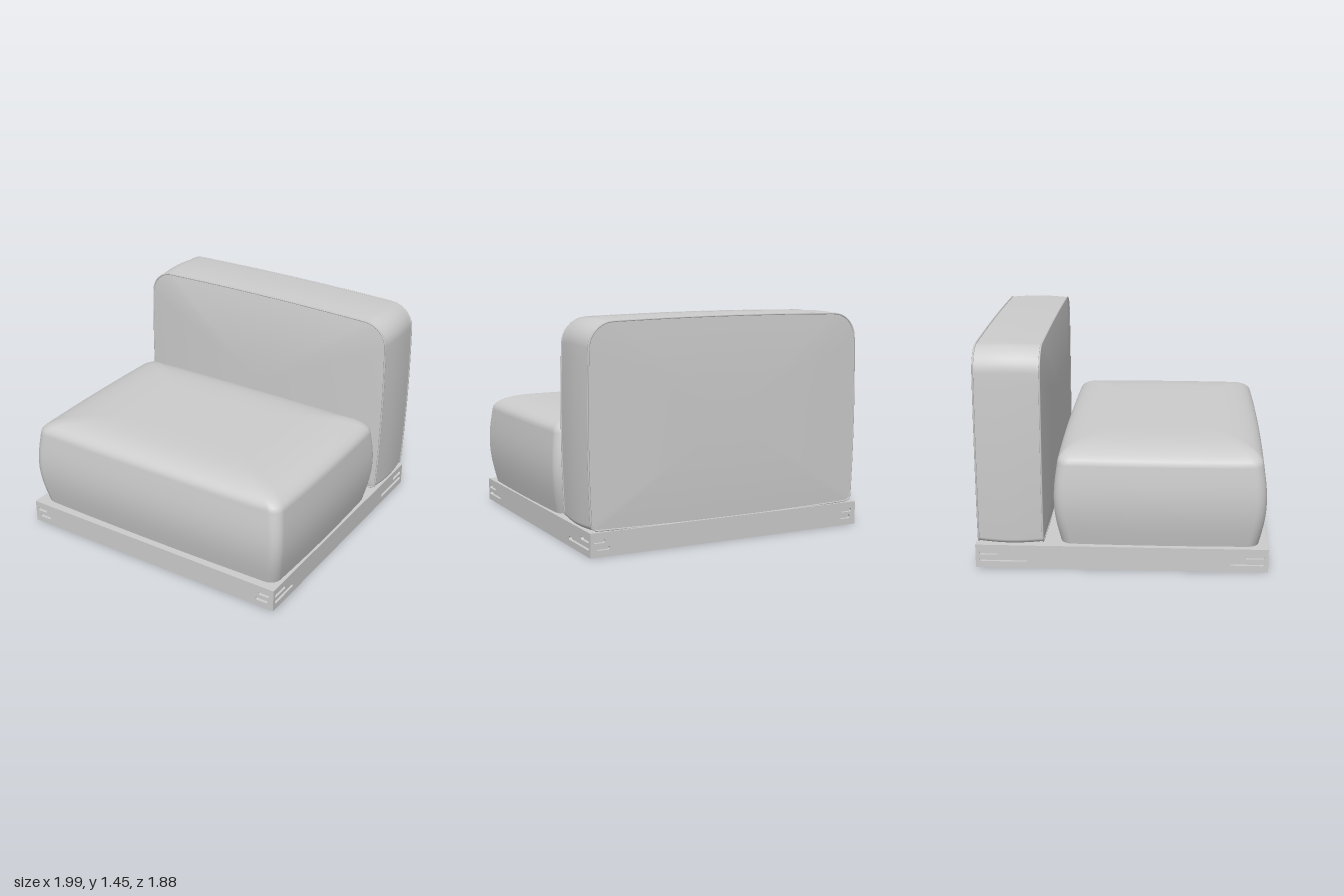
import * as THREE from 'three';

const fabric = new THREE.MeshStandardMaterial({ color: 0xcccccc });
fabric.name = 'light grey';

// Counter-clockwise rounded rectangle whose four sides bow outwards
function outline(hw, hh, rTop, rBottom, bow) {
  const corners = [[1, -1, rBottom], [1, 1, rTop], [-1, 1, rTop], [-1, -1, rBottom]];
  const arcs = corners.map(([sx, sy, r], k) => {
    const pts = [];
    for (let i = 0; i <= 8; i++) {
      const a = (k - 1 + i / 8) * Math.PI / 2;
      pts.push([sx * (hw - r) + r * Math.cos(a), sy * (hh - r) + r * Math.sin(a)]);
    }
    return pts;
  });
  const loop = [];
  arcs.forEach((arc, k) => {
    loop.push(...arc);
    const p = arc[8], q = arcs[(k + 1) % 4][0];
    for (let i = 1; i < 14; i++) {
      const t = i / 14;
      loop.push([p[0] + (q[0] - p[0]) * t, p[1] + (q[1] - p[1]) * t]);
    }
  });
  return loop.map(([x, y]) => [
    x + bow * (x / hw) * (1 - (y / hh) ** 2),
    y + bow * (y / hh) * (1 - (x / hw) ** 2),
  ]);
}

// Skin over a stack of rings { loop, scale, w }, ordered by rising w
function skin(name, rings) {
  const n = rings[0].loop.length, pos = [], index = [];
  rings.forEach(({ loop, scale, w }) => loop.forEach(([x, y]) => pos.push(x * scale, y * scale, w)));
  for (let i = 0; i < rings.length - 1; i++) {
    for (let j = 0; j < n; j++) {
      const a = i * n + j, b = i * n + (j + 1) % n;
      index.push(a, b, b + n, a, b + n, a + n);
    }
  }
  const g = new THREE.BufferGeometry();
  g.setAttribute('position', new THREE.Float32BufferAttribute(pos, 3));
  g.setIndex(index);
  g.computeVertexNormals();
  return named(name, g);
}

function named(name, geometry) {
  const mesh = new THREE.Mesh(geometry, fabric);
  mesh.name = name;
  return mesh;
}

// Side wall of a cushion
function wall(name, w0, w1, loopAt) {
  const rings = [];
  for (let i = 0; i <= 16; i++) {
    const t = i / 16;
    rings.push({ loop: loopAt(t), scale: 1, w: w0 + (w1 - w0) * t });
  }
  return skin(name, rings);
}

// Puffed end panel: height is signed, power sets how tight the edge is
function panel(name, loop, w, height, power, root) {
  const rings = [];
  for (let i = 0; i <= 20; i++) {
    const scale = Math.cos(i / 20 * Math.PI / 2);
    rings.push({ loop, scale, w: w + height * (1 - scale ** power) ** root });
  }
  if (height <= 0) rings.reverse();
  return skin(name, rings);
}

function piping(loop, w) {
  const pts = loop.map(([x, y]) => new THREE.Vector3(x, y, w));
  return named('piping', new THREE.TubeGeometry(new THREE.CatmullRomCurve3(pts, true), 180, 0.006, 6, true));
}

function seatCushion() {
  const g = new THREE.Group();
  g.name = 'seatCushion';
  const at = t => {
    const puff = Math.sin(Math.PI * t);
    return outline(0.94 + 0.023 * t + 0.03 * puff, 0.633 + 0.02 * t + 0.033 * puff, 0.07, 0.07, 0.013);
  };
  g.add(
    wall('seatSides', 0.155, 0.69, at),
    panel('seatTop', at(1), 0.69, 0.12, 6, 0.5),
    panel('seatUnderside', at(0), 0.155, 0, 2, 1),
  );
  g.rotation.x = -Math.PI / 2;
  g.position.z = 0.243;
  return g;
}

function backCushion() {
  const g = new THREE.Group();
  g.name = 'backCushion';
  const at = t => {
    const puff = 0.014 * Math.sin(Math.PI * t);
    return outline(0.955 + puff, 0.632 + puff * 0.6, 0.15, 0.03, 0.016);
  };
  g.add(
    wall('backSides', -0.92, -0.505, at),
    panel('backFrontPanel', at(1), -0.505, 0.05, 2.5, 1),
    panel('backRearPanel', at(0), -0.92, -0.017, 2.5, 1),
    piping(at(1), -0.505),
    piping(at(0), -0.92),
  );
  g.position.y = 0.797;
  return g;
}

// Plinth board with round-ended slots, [from, to, height] each
function slottedBoard(name, half, slots) {
  const s = new THREE.Shape([[-half, 0], [half, 0], [half, 0.155], [-half, 0.155]]
    .map(p => new THREE.Vector2(...p)));
  const r = 0.012;
  slots.forEach(([a, b, y]) => {
    const hole = new THREE.Path();
    hole.absarc(b - r, y, r, -Math.PI / 2, Math.PI / 2, false);
    hole.absarc(a + r, y, r, Math.PI / 2, Math.PI * 1.5, false);
    hole.closePath();
    s.holes.push(hole);
  });
  return named(name, new THREE.ExtrudeGeometry(s, { depth: 0.02, bevelEnabled: false, curveSegments: 6 }));
}

function plinth() {
  const g = new THREE.Group();
  g.name = 'plinth';
  const w = 0.98, d = 0.938, t = 0.02;
  const core = named('plinthCore', new THREE.BoxGeometry(2 * (w - t), 0.155, 2 * (d - t)));
  core.position.y = 0.0775;
  g.add(core);

  // Front and rear boards
  const ends = [[-0.96, -0.88, 0.1], [-0.94, -0.85, 0.055], [0.87, 0.95, 0.1], [0.85, 0.94, 0.055]];
  const front = slottedBoard('frontBoard', w, ends);
  front.position.z = d - t;
  const rear = slottedBoard('rearBoard', w, ends);
  rear.rotation.y = Math.PI;
  rear.position.z = -d + t;

  // Side boards, with longer slots
  const long = [[0.79, 0.915, 0.1], [0.69, 0.915, 0.055], [-0.915, -0.79, 0.1], [-0.915, -0.6, 0.055]];
  const left = slottedBoard('leftBoard', d - t, long.map(([a, b, y]) => [-b, -a, y]));
  left.rotation.y = Math.PI / 2;
  left.position.x = w - t;
  const right = slottedBoard('rightBoard', d - t, long);
  right.rotation.y = -Math.PI / 2;
  right.position.x = -w + t;
  g.add(front, rear, left, right);
  g.position.x = -0.01;
  return g;
}

export function createModel() {
  const model = new THREE.Group();
  model.name = 'armlessSofaModule';
  model.add(plinth(), seatCushion(), backCushion());
  return model;
}
